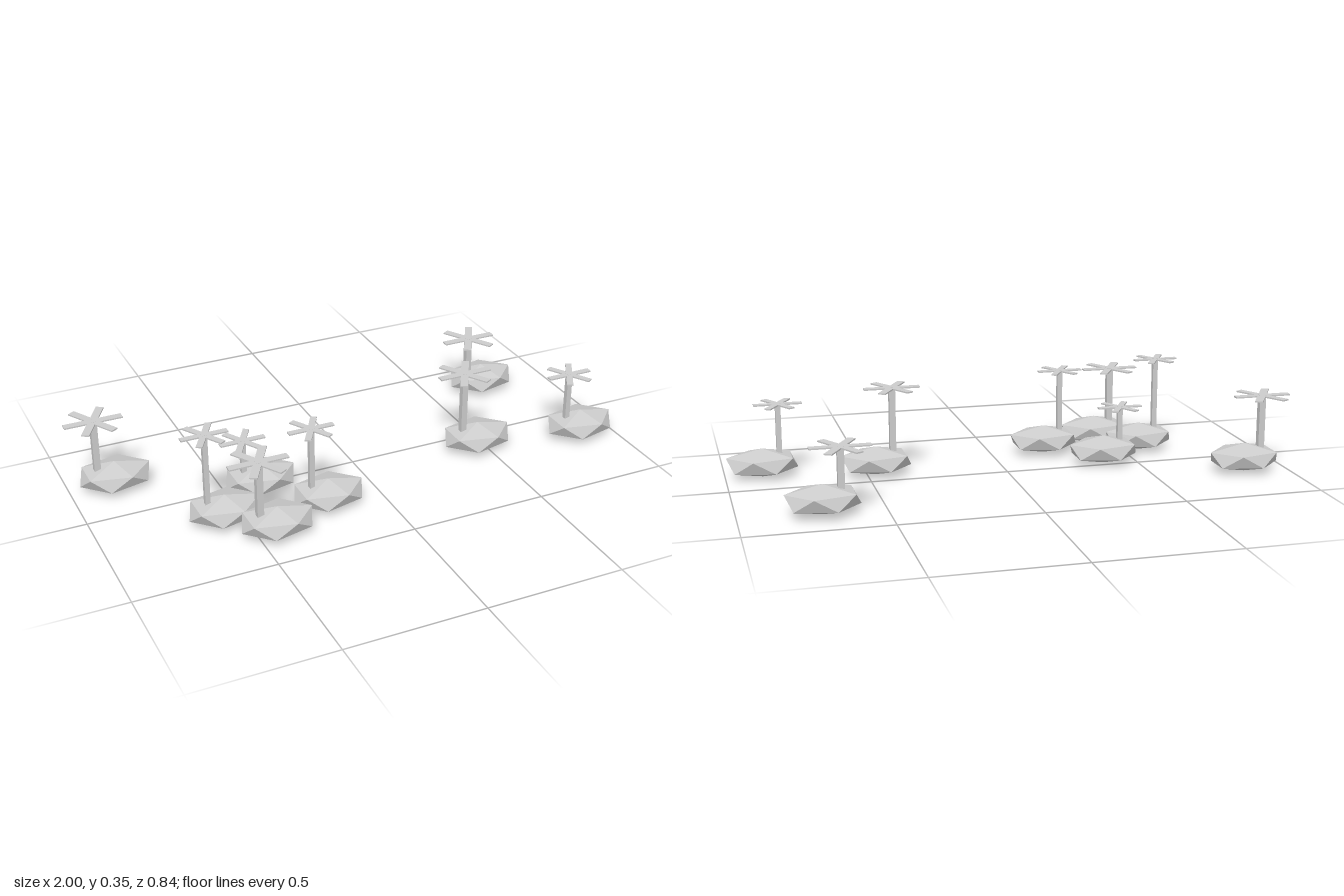
import * as THREE from 'three';
import { ConvexGeometry } from 'three/addons/geometries/ConvexGeometry.js';

const stone = new THREE.MeshStandardMaterial({ color: 0xcccccc });
stone.name = 'pale grey';

// Island centre x, z, tree height, leaf reach
const ISLANDS = [
  [-0.837, -0.2, 0.281, 0.104],
  [-0.563, 0.177, 0.353, 0.083],
  [-0.43, 0.322, 0.294, 0.106],
  [-0.375, 0.031, 0.212, 0.083],
  [-0.2, 0.228, 0.318, 0.083],
  [0.467, 0.091, 0.321, 0.101],
  [0.716, -0.326, 0.232, 0.105],
  [0.867, 0.167, 0.268, 0.086],
];

// Squashed twelve-point rock: two poles and two staggered rings of five
function rockGeometry() {
  const rx = 0.1285, ry = 0.052, rz = 0.0945;
  const points = [new THREE.Vector3(0, ry, 0), new THREE.Vector3(0, -ry, 0)];
  for (let i = 0; i < 5; i++) {
    const a = (i / 5) * Math.PI * 2;
    const x = rx * Math.cos(a), z = rz * Math.sin(a), y = ry * 0.447;
    points.push(new THREE.Vector3(x, y, z), new THREE.Vector3(-x, -y, z));
  }
  return new ConvexGeometry(points);
}

function addMesh(parent, name, geometry) {
  const mesh = new THREE.Mesh(geometry, stone);
  mesh.name = name;
  parent.add(mesh);
  return mesh;
}

// Square trunk with six flat leaves spread like a star
function makeTree(height, reach) {
  const tree = new THREE.Group();
  tree.name = 'palmTree';
  const w = reach * 0.22, base = 0.05, thick = 0.005;
  addMesh(tree, 'trunk', new THREE.BoxGeometry(w, height - base, w)).position.y = (height + base) / 2;

  const length = reach - w / 2;
  const leaf = new THREE.BoxGeometry(length, thick, reach * 0.27);
  leaf.translate(w / 2 + length / 2, 0, 0);
  for (let i = 0; i < 6; i++) {
    const mesh = addMesh(tree, 'leaf', leaf);
    mesh.position.y = height - thick / 2 - 0.0005;
    mesh.rotation.y = (i * Math.PI) / 3;
  }
  return tree;
}

export function createModel() {
  const model = new THREE.Group();
  model.name = 'palmIslands';
  const rock = rockGeometry();
  for (const [x, z, height, reach] of ISLANDS) {
    const island = new THREE.Group();
    island.name = 'island';
    island.position.set(x, 0, z);
    addMesh(island, 'rock', rock).position.y = 0.053;
    const tree = makeTree(height, reach);
    tree.position.x = -0.062;
    island.add(tree);
    model.add(island);
  }
  return model;
}
